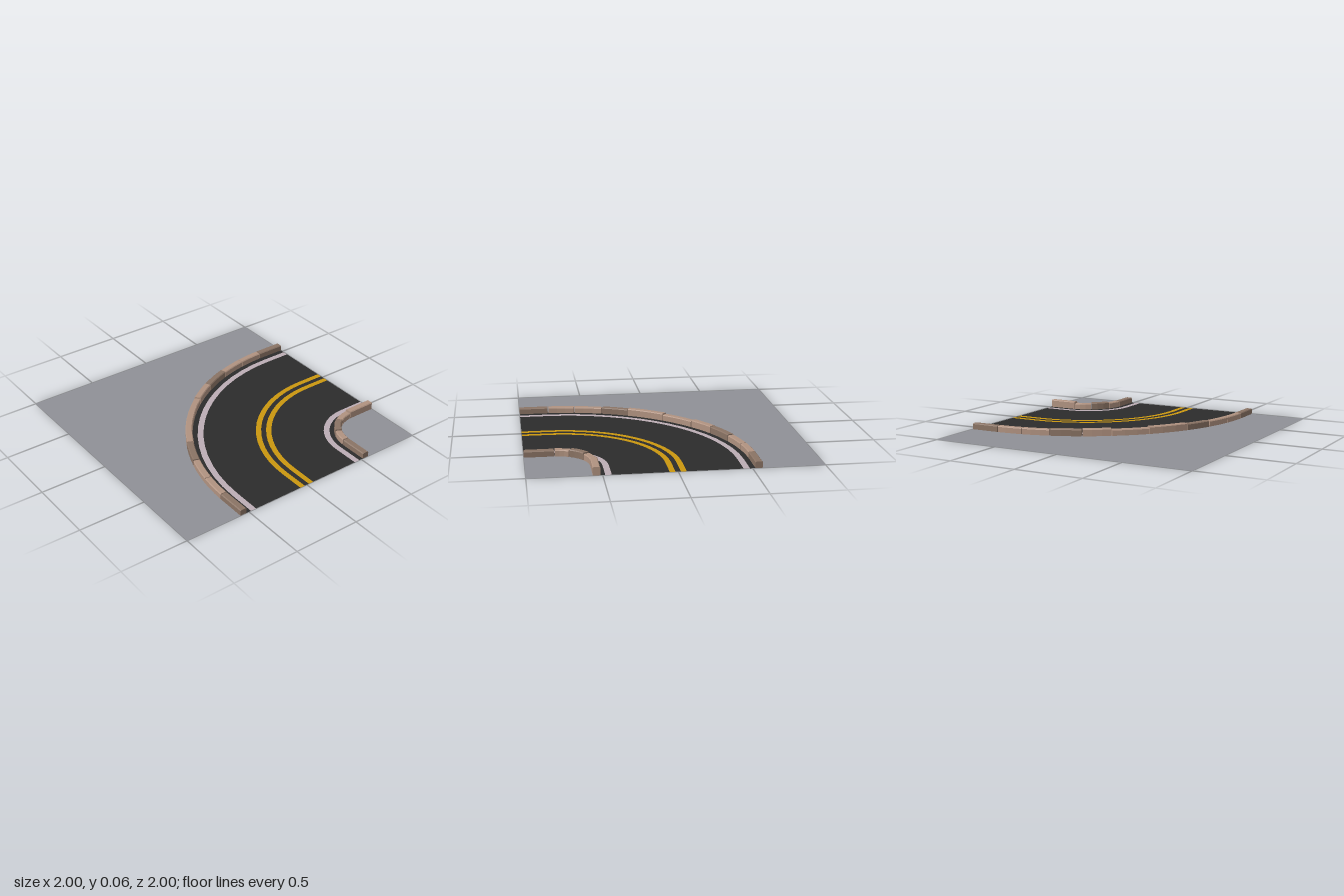
import * as THREE from 'three';

const C = 0.8;            // centre of the bend in x and z
const END = 0.2;          // straight length before and after the bend
const ARC = 16;           // segments in the bend

const mat = (name, color, side = THREE.FrontSide) => {
  const m = new THREE.MeshStandardMaterial({ color, side });
  m.name = name;
  return m;
};

// Point [x, z] on the bend: u < 0 and u > 1 are the straights, 0..1 the quarter turn
function bendPoint(u, r) {
  if (u <= 0) return [C - u, C - r];
  if (u >= 1) return [C - r, C + u - 1];
  const a = u * Math.PI / 2;
  return [C - r * Math.sin(a), C - r * Math.cos(a)];
}

function bendPath(r) {
  const pts = [bendPoint(-END, r)];
  for (let i = 0; i <= ARC; i++) pts.push(bendPoint(i / ARC, r));
  pts.push(bendPoint(1 + END, r));
  return pts;
}

// Flat sheet at ground level from a closed outline of [x, z]
function sheet(name, outline, material) {
  const shape = new THREE.Shape(outline.map(([x, z]) => new THREE.Vector2(x, -z)));
  const mesh = new THREE.Mesh(new THREE.ShapeGeometry(shape).rotateX(-Math.PI / 2), material);
  mesh.name = name;
  return mesh;
}

const band = (name, r0, r1, material) =>
  sheet(name, [...bendPath(r0), ...bendPath(r1).reverse()], material);

// One kerb stone: a bevelled section swept from u0 to u1
function stone(u0, u1, r0, r1, h, material) {
  const b = 0.006, steps = 3;
  const section = [[r0, 0], [r0, h - b], [r0 + b, h], [r1 - b, h], [r1, h - b], [r1, 0]];
  const n = section.length, pos = [], idx = [];
  for (let i = 0; i <= steps; i++) {
    const u = u0 + (u1 - u0) * i / steps;
    for (const [r, y] of section) {
      const [x, z] = bendPoint(u, r);
      pos.push(x, y, z);
    }
  }
  for (let i = 0; i < steps; i++) {
    for (let k = 0; k < n; k++) {
      const a = i * n + k, c = i * n + (k + 1) % n;
      idx.push(a, c, c + n, a, c + n, a + n);
    }
  }
  const last = steps * n;
  for (let k = 1; k < n - 1; k++) {
    idx.push(0, k + 1, k, last, last + k, last + k + 1);
  }
  const indexed = new THREE.BufferGeometry();
  indexed.setAttribute('position', new THREE.Float32BufferAttribute(pos, 3));
  indexed.setIndex(idx);
  const geo = indexed.toNonIndexed();
  geo.computeVertexNormals();
  const mesh = new THREE.Mesh(geo, material);
  mesh.name = 'kerbStone';
  return mesh;
}

// Row of stones; joints are angles in degrees, dark lists the darker stones
function kerb(name, r0, r1, joints, heights, dark, mats) {
  const group = new THREE.Group();
  group.name = name;
  const us = [-END, ...joints.map(d => d / 90), 1 + END];
  const gap = 0.002 / r1;
  heights.forEach((h, i) => {
    const start = i === 0 ? us[i] : us[i] + gap;
    const end = i === heights.length - 1 ? us[i + 1] : us[i + 1] - gap;
    group.add(stone(start, end, r0, r1, h, dark.includes(i) ? mats.dark : mats.light));
  });
  return group;
}

export function createModel() {
  const model = new THREE.Group();
  model.name = 'roadCorner';
  const two = THREE.DoubleSide;
  const ground = mat('pavement grey', 0x8f9096, two);
  const asphalt = mat('asphalt', 0x2c2c2c, two);
  const white = mat('edge line white', 0xbcadb5, two);
  const yellow = mat('centre line yellow', 0xca970f, two);
  const mats = { light: mat('light stone', 0xb09280), dark: mat('dark stone', 0x8a7364) };

  // Pavement on both sides of the road
  model.add(sheet('innerPavement', [...bendPath(0.26), [1, 1]], ground));
  model.add(sheet('outerPavement', [...bendPath(1.34), [-1, 1], [-1, -1], [1, -1]], ground));

  // Road surface and painted lines, side by side in one plane
  const edges = [0.26, 0.317, 0.36, 0.743, 0.782, 0.818, 0.857, 1.24, 1.283, 1.34];
  const names = { 1: 'innerEdgeLine', 3: 'innerCentreLine', 5: 'outerCentreLine', 7: 'outerEdgeLine' };
  for (let i = 0; i < edges.length - 1; i++) {
    const paint = i === 1 || i === 7 ? white : i === 3 || i === 5 ? yellow : asphalt;
    model.add(band(names[i] ?? 'roadSurface', edges[i], edges[i + 1], paint));
  }

  // Stone kerbs
  model.add(kerb('outerKerb', 1.32, 1.37,
    [0.8, 9.2, 18.1, 28, 37, 48.8, 62, 71.1, 80.5, 89.2],
    [0.045, 0.045, 0.045, 0.05, 0.053, 0.045, 0.053, 0.047, 0.043, 0.043, 0.043],
    [0, 3, 7, 10], mats));
  model.add(kerb('innerKerb', 0.235, 0.285, [4, 32, 63, 88],
    [0.057, 0.045, 0.052, 0.045, 0.043], [2, 4], mats));
  return model;
}
